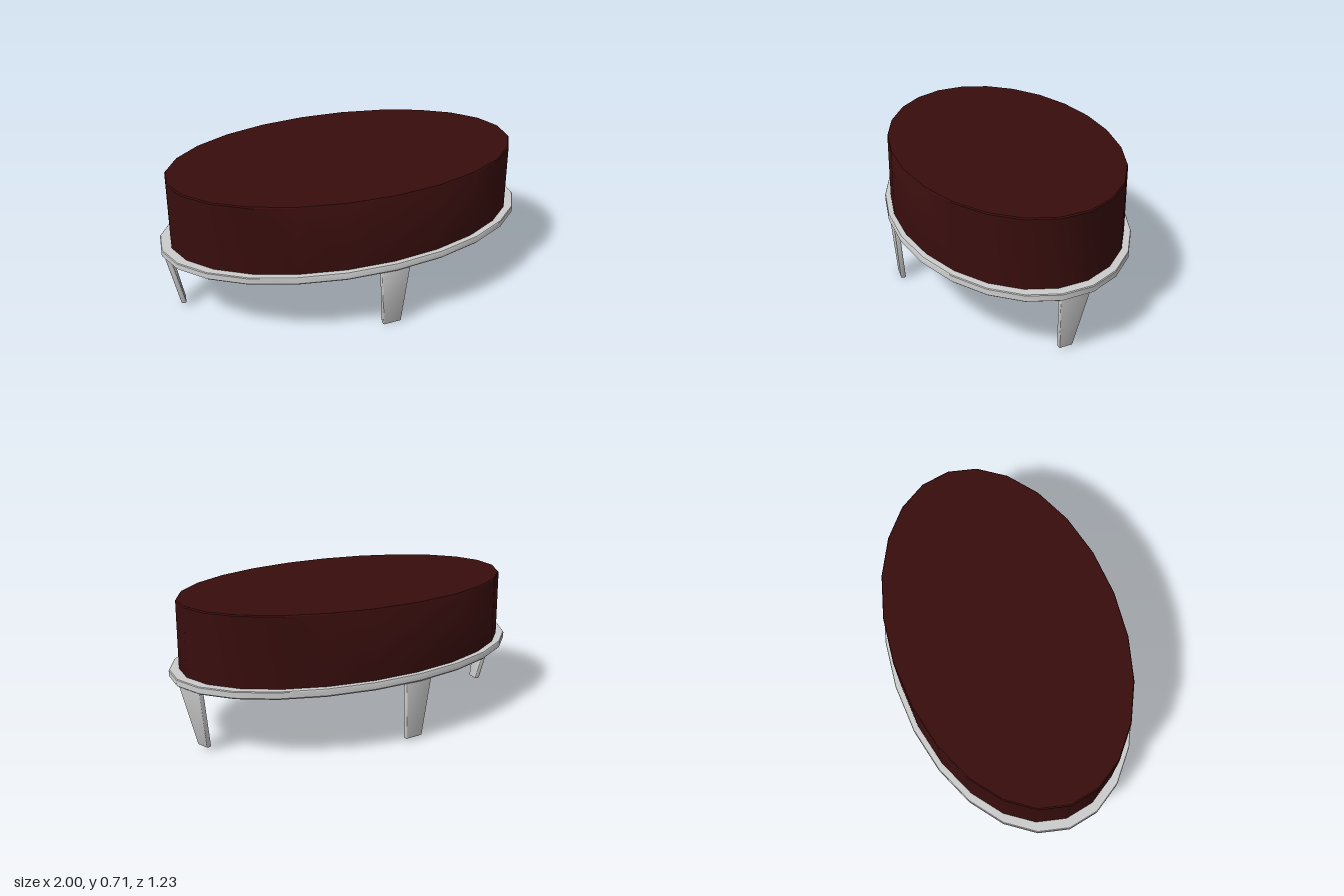
import * as THREE from 'three';
import { toCreasedNormals } from 'three/addons/utils/BufferGeometryUtils.js';
import { RoundedBoxGeometry } from 'three/addons/geometries/RoundedBoxGeometry.js';

const SIDES = 24;
const PLATE_BOTTOM = 0.32;

// Oval slab turned from a profile (bottom to top), then squashed along z
function ovalSlab(profile, depthRatio) {
  const points = profile.map(([x, y]) => new THREE.Vector2(x, y));
  const geometry = new THREE.LatheGeometry(points, SIDES);
  geometry.scale(1, 1, depthRatio);
  return toCreasedNormals(geometry, 0.6);
}

// Flat tapered leg: width along x, outer face toward +z, bottom leaning inward
function taperedLeg(topWidth, bottomWidth, foot, lean) {
  const top = PLATE_BOTTOM + 0.01;
  const height = top - foot;
  const geometry = new RoundedBoxGeometry(topWidth, height, 0.026, 2, 0.006);
  const p = geometry.attributes.position;
  for (let i = 0; i < p.count; i++) {
    const t = 0.5 - p.getY(i) / height; // 0 at the top, 1 at the foot
    const width = THREE.MathUtils.lerp(1, bottomWidth / topWidth, t);
    p.setXYZ(i, p.getX(i) * width, p.getY(i) + (top + foot) / 2, p.getZ(i) - lean * t);
  }
  return toCreasedNormals(geometry, 0.6);
}

export function createModel() {
  const group = new THREE.Group();
  const upholstery = new THREE.MeshStandardMaterial({ color: 0x380d0d });
  upholstery.name = 'dark red upholstery';
  const metal = new THREE.MeshStandardMaterial({ color: 0xcccccc });
  metal.name = 'light grey metal';

  const add = (name, geometry, material) => {
    const mesh = new THREE.Mesh(geometry, material);
    mesh.name = name;
    group.add(mesh);
    return mesh;
  };

  // Oval seat cushion with a slightly softened top edge
  add('cushion', ovalSlab(
    [[0, 0.355], [0.947, 0.355], [0.947, 0.704], [0.941, 0.71], [0, 0.71]], 0.618), upholstery);

  // Thin oval base plate
  add('basePlate', ovalSlab(
    [[0, PLATE_BOTTOM], [0.988, PLATE_BOTTOM], [1, 0.328], [1, 0.356], [0.996, 0.36], [0, 0.36]],
    0.615), metal);

  // Four legs following the rim: [name, x, z, turn, bottom width, foot height, lean]
  const sideTurn = Math.PI / 2 + 0.21;
  const legs = [
    ['frontLeg', 0, 0.589, 0, 0.097, 0, 0.028],
    ['backLeg', 0, -0.589, Math.PI, 0.097, 0.015, 0.03],
    ['leftLeg', 0.962, -0.07, sideTurn, 0.068, 0.015, 0.067],
    ['rightLeg', -0.962, -0.07, -sideTurn, 0.068, 0.015, 0.067],
  ];
  for (const [name, x, z, turn, bottomWidth, foot, lean] of legs) {
    const leg = add(name, taperedLeg(0.157, bottomWidth, foot, lean), metal);
    leg.position.set(x, 0, z);
    leg.rotation.y = turn;
  }
  return group;
}
